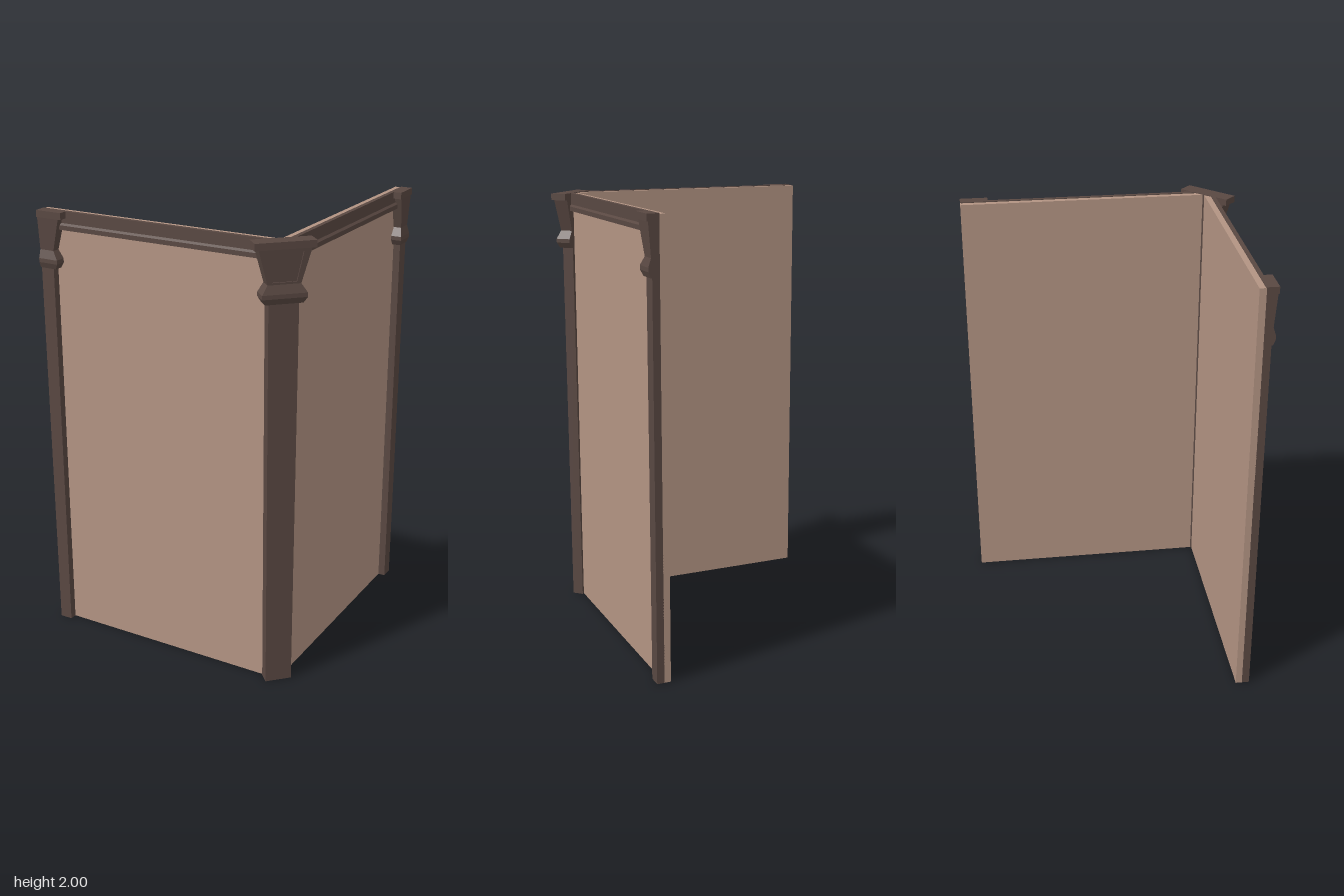
import * as THREE from 'three';

// Stacked cross-sections [y, halfWidth, depth]; lo/hi choose the left half, right half or both.
// panelAt: index of the segment whose front gets a recessed panel.
function loft(rings, lo, hi, back, panelAt = -1) {
  const pos = [];
  const quad = (a, b, c, d) => [a, b, c, a, c, d].forEach(p => pos.push(p.x, p.y, p.z));
  const V = (x, y, z) => new THREE.Vector3(x, y, z);
  const sections = rings.map(([y, w, t]) =>
    [V(lo * w, y, t), V(hi * w, y, t), V(hi * w, y, back), V(lo * w, y, back)]);

  const recessed = (a, b, c, d) => {
    const at = (u, v) => a.clone().lerp(b, u).lerp(d.clone().lerp(c, u), v);
    const outer = [a, b, c, d];
    const rim = [at(0.14, 0.06), at(0.86, 0.06), at(0.86, 0.9), at(0.14, 0.9)];
    const floor = rim.map(p => p.clone().add(V(0, 0, -0.006)));
    for (let i = 0; i < 4; i++) {
      const j = (i + 1) % 4;
      quad(outer[i], outer[j], rim[j], rim[i]);
      quad(rim[i], rim[j], floor[j], floor[i]);
    }
    quad(...floor);
  };

  for (let s = 0; s < sections.length - 1; s++) {
    const a = sections[s], b = sections[s + 1];
    for (let i = 0; i < 4; i++) {
      const j = (i + 1) % 4;
      (s === panelAt && i === 0 ? recessed : quad)(a[i], a[j], b[j], b[i]);
    }
  }
  quad(...sections[sections.length - 1]);
  quad(...[...sections[0]].reverse());

  const geo = new THREE.BufferGeometry();
  geo.setAttribute('position', new THREE.Float32BufferAttribute(pos, 3));
  geo.computeVertexNormals();
  return geo;
}

const SHAFT = [[0, 0.059, 0.056], [1.75, 0.064, 0.056]];
const CAPITAL = [
  [1.745, 0.08, 0.062], [1.77, 0.095, 0.072], [1.788, 0.095, 0.072],
  [1.825, 0.07, 0.06], [1.97, 0.11, 0.071],
  [1.97, 0.128, 0.076], [2, 0.128, 0.076],
];

export function createModel() {
  const plaster = new THREE.MeshStandardMaterial({ color: 0xb39483 });
  plaster.name = 'tan plaster';
  const wood = new THREE.MeshStandardMaterial({ color: 0x594842 });
  wood.name = 'dark wood';

  const model = new THREE.Group();
  model.name = 'cornerWall';
  const add = (parent, name, geo, mat) => {
    const mesh = new THREE.Mesh(geo, mat);
    mesh.name = name;
    parent.add(mesh);
    return mesh;
  };

  const pilaster = (name, lo, hi, back, panelAt) => {
    const group = new THREE.Group();
    group.name = name;
    add(group, 'shaft', loft(SHAFT, lo, hi, back), wood);
    add(group, 'capital', loft(CAPITAL, lo, hi, back, panelAt), wood);
    return group;
  };

  // Moulded beam section: depth, height
  const beamShape = new THREE.Shape([
    [0.528, 1.92], [0.557, 1.92], [0.557, 1.94], [0.547, 1.948], [0.547, 2], [0.528, 2],
  ].map(p => new THREE.Vector2(...p)));

  // One wing: panel, top beam and half pilaster at its free end (side = sign of the corner end)
  const wing = (name, side) => {
    const group = new THREE.Group();
    group.name = name;

    const panel = add(group, 'wallPanel', new THREE.BoxGeometry(1.14, 1.997, 0.03), plaster);
    panel.position.set(-0.07 * side, 0.9985, 0.516);

    const beamGeo = new THREE.ExtrudeGeometry(beamShape, { depth: 1.115, bevelEnabled: false });
    beamGeo.translate(0, 0, -1.115 / 2);
    beamGeo.rotateY(-Math.PI / 2);
    // Turn the section so its depth points outward along +z
    beamGeo.rotateY(0);
    const box = new THREE.Box3().setFromBufferAttribute(beamGeo.attributes.position);
    const beam = add(group, 'topBeam', beamGeo, wood);
    beam.position.set(-0.0775 * side - (box.min.x + box.max.x) / 2, 0, 0);

    const end = pilaster('endPilaster', side > 0 ? 0 : -1, side > 0 ? 1 : 0, 0.022);
    end.position.set(-0.64 * side, 0, 0.508);
    group.add(end);
    model.add(group);
    return group;
  };

  wing('frontWing', 1);
  wing('leftWing', -1).rotation.y = Math.PI / 2;

  // Full pilaster set diagonally across the outer corner
  const corner = pilaster('cornerPilaster', -1, 1, 0.004, 3);
  corner.rotation.y = Math.PI / 4;
  corner.position.set(0.7 * Math.SQRT1_2, 0, 0.7 * Math.SQRT1_2);
  model.add(corner);

  return model;
}
